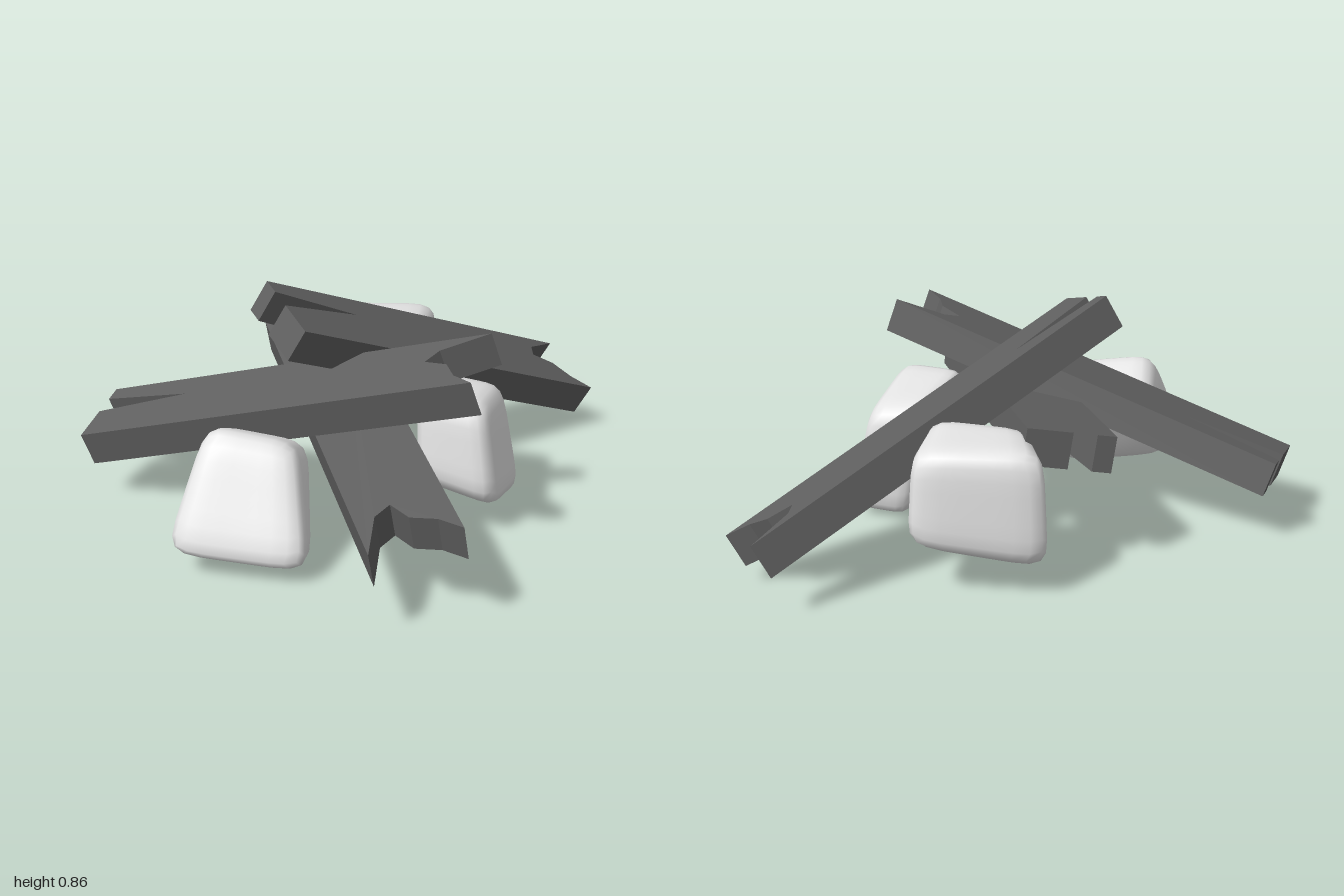
import * as THREE from 'three';
import { mergeVertices } from 'three/addons/utils/BufferGeometryUtils.js';

const THICKNESS = 0.13;
const ROUNDNESS = 6; // superellipsoid power of the stones, higher is boxier

// Broken board outline in unit coordinates: a long split at u = 0, a jagged break at u = 1
const OUTLINE = [
  [0, 0], [0, 0.22], [0.235, 0.36], [0, 0.49], [0, 1],
  [1, 1], [0.95, 0.8], [0.92, 0.54], [0.862, 0.42], [0.887, 0.22], [1, 0],
];

// Board whose top face starts at a corner and runs along its length and width vectors
function plank(name, corner, length, width, material) {
  const shape = new THREE.Shape(OUTLINE.map(([u, v]) => new THREE.Vector2(u, v)));
  const geometry = new THREE.ExtrudeGeometry(shape, { depth: THICKNESS, bevelEnabled: false });
  const o = new THREE.Vector3(...corner);
  const l = new THREE.Vector3(...length);
  const w = new THREE.Vector3(...width);
  const n = new THREE.Vector3().crossVectors(l, w).normalize();
  if (n.y > 0) o.addScaledVector(n, -THICKNESS);
  geometry.applyMatrix4(new THREE.Matrix4().makeBasis(l, w, n).setPosition(o));
  const mesh = new THREE.Mesh(geometry, material);
  mesh.name = name;
  return mesh;
}

// Soft block bent to eight corners (x changes fastest, then z, then y)
function stone(name, corners, material) {
  let geometry = new THREE.BoxGeometry(2, 2, 2, 8, 8, 8);
  geometry.deleteAttribute('normal');
  geometry.deleteAttribute('uv');
  geometry = mergeVertices(geometry, 1e-4);
  const pos = geometry.attributes.position;
  const c = corners.map((p) => new THREE.Vector3(...p));
  for (let i = 0; i < pos.count; i++) {
    const raw = [pos.getX(i), pos.getZ(i), pos.getY(i)];
    const r = raw.reduce((sum, s) => sum + Math.abs(s) ** ROUNDNESS, 0) ** (1 / ROUNDNESS);
    const t = raw.map((s) => 0.5 + (0.5 * s) / r);
    const p = new THREE.Vector3();
    c.forEach((corner, k) => {
      let weight = 1;
      t.forEach((s, bit) => { weight *= (k >> bit) & 1 ? s : 1 - s; });
      p.addScaledVector(corner, weight);
    });
    pos.setXYZ(i, p.x, p.y, p.z);
  }
  geometry.computeVertexNormals();
  const mesh = new THREE.Mesh(geometry, material);
  mesh.name = name;
  return mesh;
}

export function createModel() {
  const group = new THREE.Group();
  group.name = 'rubblePile';
  const wood = new THREE.MeshStandardMaterial({ color: 0x606060 });
  wood.name = 'dark grey board';
  const rock = new THREE.MeshStandardMaterial({ color: 0xe4e4e4 });
  rock.name = 'pale grey stone';

  // Three crossed boards
  group.add(
    plank('crossPlank', [-0.9, 0.325, -0.1], [1.475, 0.445, 0.262], [-0.04, -0.055, 0.314], wood),
    plank('topPlank', [-0.25, 0.87, 0.05], [0.995, -0.59, -1.05], [0.187, -0.093, 0.23], wood),
    plank('lowerPlank', [-0.37, 0.52, -0.42], [0.65, -0.19, 1.42], [0.287, 0.06, -0.125], wood),
  );

  // Three stones around the boards
  group.add(
    stone('frontStone', [
      [-0.44, 0.05, 0.5], [0, -0.03, 0.5], [-0.49, 0.1, 0.75], [0.04, 0.08, 0.75],
      [-0.4, 0.4, 0.29], [-0.04, 0.36, 0.29], [-0.37, 0.51, 0.53], [-0.05, 0.46, 0.52],
    ], rock),
    stone('leftStone', [
      [0.45, 0, -0.21], [0.7, 0.01, -0.18], [0.31, 0.2, 0.22], [0.63, 0.13, 0.29],
      [0.37, 0.47, -0.21], [0.61, 0.44, -0.19], [0.3, 0.52, 0.17], [0.57, 0.52, 0.23],
    ], rock),
    stone('backStone', [
      [-0.2, 0.12, -0.7], [0.3, 0.2, -0.79], [-0.09, 0.08, -0.42], [0.29, 0.17, -0.43],
      [-0.18, 0.54, -0.68], [0.28, 0.54, -0.75], [-0.07, 0.55, -0.44], [0.28, 0.57, -0.45],
    ], rock),
  );
  return group;
}
